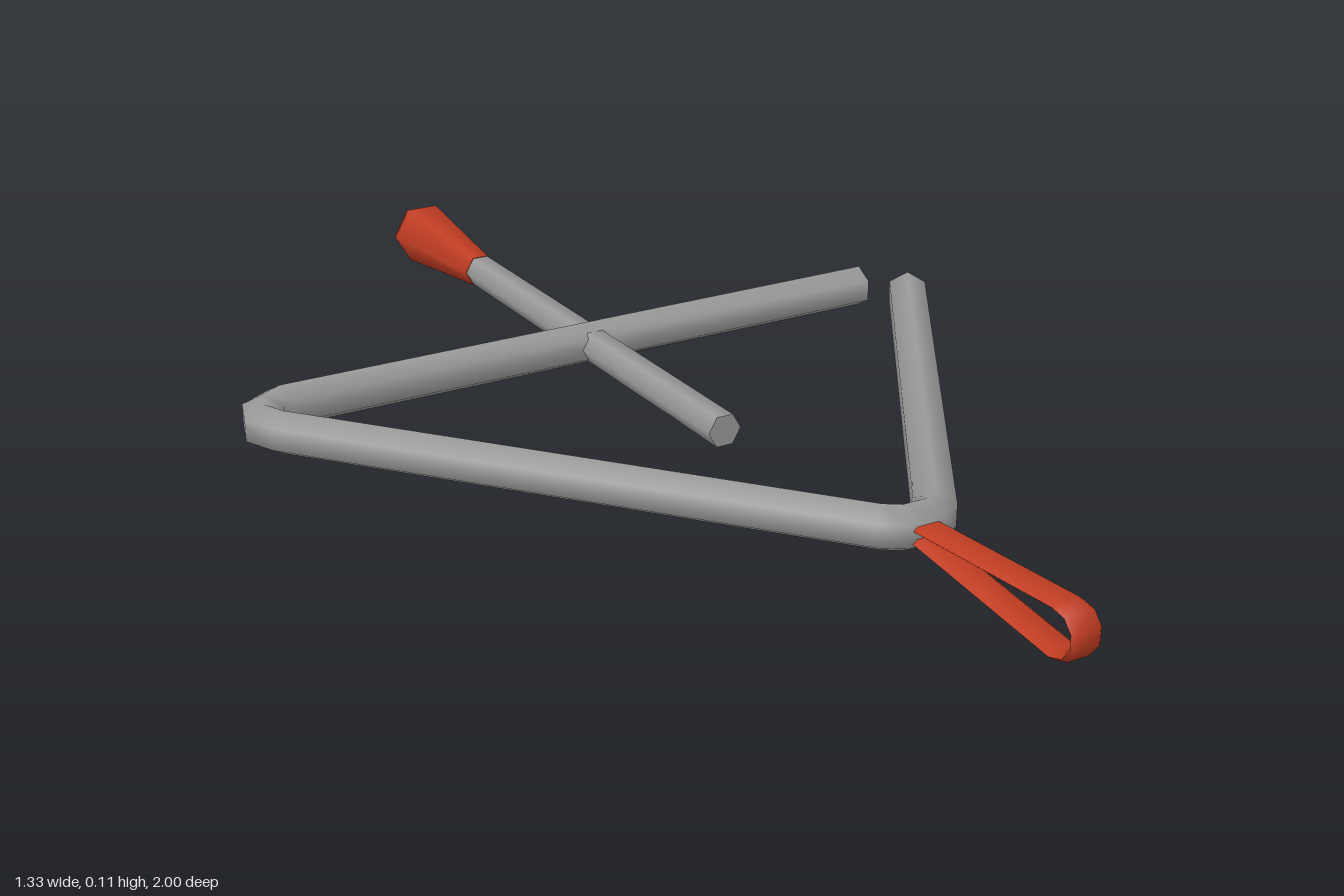
import * as THREE from 'three';
import { toCreasedNormals } from 'three/addons/utils/BufferGeometryUtils.js';

const V = (x, y) => new THREE.Vector2(x, y);

// Sweeps a cross-section [in-plane, out-of-plane] along a flat path with mitred corners
function sweep(points, section, closed) {
  const path = points.map(([x, y]) => V(x, y));
  const n = path.length, m = section.length, pos = [], idx = [];
  path.forEach((p, i) => {
    const prev = path[closed ? (i + n - 1) % n : Math.max(i - 1, 0)];
    const next = path[closed ? (i + 1) % n : Math.min(i + 1, n - 1)];
    const d1 = p.clone().sub(prev).normalize(), d2 = next.clone().sub(p).normalize();
    const t = d1.clone().add(d2).normalize();
    const mitre = 1 / Math.max(t.dot(d2.lengthSq() ? d2 : d1), 0.5);
    section.forEach(([u, v]) => pos.push(p.x - t.y * u * mitre, p.y + t.x * u * mitre, v));
  });
  for (let i = 0; i < (closed ? n : n - 1); i++) {
    for (let j = 0; j < m; j++) {
      const k = (j + 1) % m, e = ((i + 1) % n) * m;
      const a = i * m + j, b = i * m + k, c = e + k, d = e + j;
      idx.push(a, b, c, a, c, d);
    }
  }
  if (!closed) {
    const e = (n - 1) * m;
    for (let j = 1; j < m - 1; j++) idx.push(0, j + 1, j, e, e + j, e + j + 1);
  }
  const g = new THREE.BufferGeometry();
  g.setAttribute('position', new THREE.Float32BufferAttribute(pos, 3));
  g.setIndex(idx);
  return toCreasedNormals(g, 1.2);
}

export function createModel() {
  const group = new THREE.Group();
  const steel = new THREE.MeshStandardMaterial({ color: 0x999999 });
  steel.name = 'steel grey';
  const red = new THREE.MeshStandardMaterial({ color: 0xbf3c22 });
  red.name = 'brick red';
  const midY = 0.063;

  const add = (name, geometry, material) => {
    const mesh = new THREE.Mesh(geometry, material);
    mesh.name = name;
    group.add(mesh);
    return mesh;
  };

  // Open triangle bent from a six-sided rod, lying flat
  const hex = Array.from({ length: 6 }, (_, i) => {
    const a = Math.PI / 6 + i * Math.PI / 3;
    return [0.038 * Math.cos(a), 0.038 * Math.sin(a)];
  });
  const bend = sweep([
    [0.575, -0.287], [-0.58, -0.287], [-0.62, -0.263], [-0.633, -0.222], [-0.615, -0.182],
    [0.012, 0.59], [0.038, 0.608], [0.082, 0.608], [0.11, 0.59], [0.635, -0.215],
  ], hex, false);
  bend.rotateX(Math.PI / 2);
  add('triangleRod', bend, steel).position.y = midY;

  // Ribbon loop hung on the front corner, leaning slightly sideways
  const ribbon = [[0, 0.027], [-0.006, 0.019], [-0.006, -0.019], [0, -0.027], [0.006, -0.019], [0.006, 0.019]];
  const loop = sweep([
    [0.62, 0.053], [0.95, 0.008], [0.976, 0.016], [0.992, 0.036],
    [0.992, 0.06], [0.976, 0.079], [0.95, 0.084], [0.62, 0.07],
  ], ribbon, false);
  loop.rotateY(-Math.PI / 2);
  const p = loop.attributes.position;
  for (let i = 0; i < p.count; i++) p.setX(i, p.getX(i) + 0.065 + 0.025 * (p.getZ(i) - 0.8));
  add('hangingLoop', loop, red);

  // Beater: six-sided pieces along z, from a back radius to a front radius
  const piece = (name, rBack, rFront, zBack, zFront, material) => {
    const g = new THREE.CylinderGeometry(rBack, rFront, zFront - zBack, 6, 1, false, Math.PI / 6);
    g.rotateX(-Math.PI / 2);
    add(name, g, material).position.set(0, midY, (zBack + zFront) / 2);
  };
  piece('beaterRod', 0.03, 0.03, -0.73, 0.17, steel);
  piece('beaterGrip', 0.06, 0.031, -0.98, -0.72, red);
  piece('beaterGripEnd', 0.05, 0.06, -1, -0.98, red);

  return group;
}
